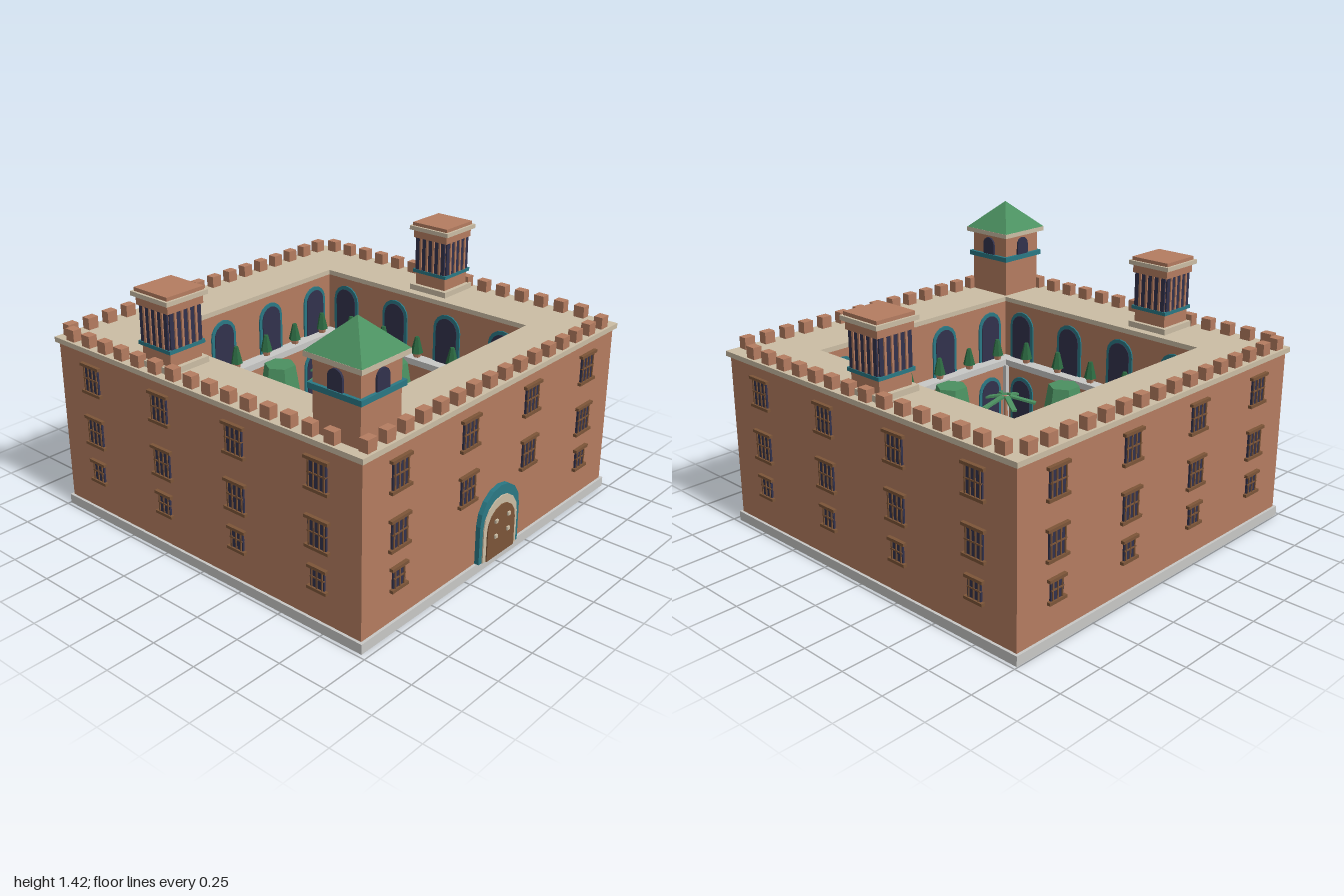
import * as THREE from 'three';

const mat = (name, color) => {
  const m = new THREE.MeshStandardMaterial({ color });
  m.name = name;
  return m;
};
const brick = mat('terracotta', 0xb47c60), sand = mat('sandstone', 0xcbbda4), stone = mat('pale stone', 0xc8c8c6);
const teal = mat('teal tile', 0x2a7884), glass = mat('dark glass', 0x32324c), wood = mat('brown wood', 0x7c5538);
const green = mat('green', 0x4b9060), leafDark = mat('dark foliage', 0x2c6a42);
[brick, green, leafDark, stone].forEach((m) => (m.flatShading = true));

const WALL = 0.968, COURT = 0.657, ROOF = 0.92;

function add(parent, name, geo, material, x = 0, y = 0, z = 0) {
  const m = new THREE.Mesh(geo, material);
  m.name = name;
  m.position.set(x, y, z);
  parent.add(m);
  return m;
}
// Box given by its bottom height
const box = (p, name, material, w, h, d, x, y, z) =>
  add(p, name, new THREE.BoxGeometry(w, h, d), material, x, y + h / 2, z);

function group(parent, name, x = 0, y = 0, z = 0, turn = 0) {
  const g = new THREE.Group();
  g.name = name;
  g.position.set(x, y, z);
  g.rotation.y = turn;
  parent.add(g);
  return g;
}

// Square ring with a square hole, lying flat
function ring(p, name, material, outer, inner, y, h) {
  const square = (s, T) => new T([[-s, -s], [s, -s], [s, s], [-s, s]].map(([a, b]) => new THREE.Vector2(a, b)));
  const shape = square(outer, THREE.Shape);
  shape.holes.push(square(inner, THREE.Path));
  const geo = new THREE.ExtrudeGeometry(shape, { depth: h, bevelEnabled: false }).rotateX(-Math.PI / 2);
  return add(p, name, geo, material, 0, y, 0);
}

// Round-headed plate facing +z
function arch(p, name, material, r, bottom, top, depth, x = 0, z = 0) {
  const s = new THREE.Shape();
  s.moveTo(-r, bottom);
  s.lineTo(r, bottom);
  for (let i = 0; i <= 8; i++) {
    const a = (i / 8) * Math.PI;
    s.lineTo(r * Math.cos(a), top - r + r * Math.sin(a));
  }
  return add(p, name, new THREE.ExtrudeGeometry(s, { depth, bevelEnabled: false }), material, x, 0, z);
}

// Barred window with lintel and sill, bottom at y
function barredWindow(p, x, y, w, h, bars) {
  const g = group(p, 'window', x, y, WALL);
  box(g, 'pane', glass, w, h, 0.02, 0, 0, 0);
  box(g, 'lintel', wood, w + 0.03, 0.015, 0.038, 0, h - 0.008, 0);
  box(g, 'sill', wood, w + 0.03, 0.015, 0.038, 0, -0.008, 0);
  for (let i = 0; i < bars; i++)
    box(g, 'bar', wood, 0.007, h, 0.03, w * ((i + 0.5) / bars - 0.5) * 1.12, 0, 0);
  box(g, 'crossBar', wood, w, 0.007, 0.028, 0, h / 2, 0);
}

// Lookout with slotted sides
function lookout(p, x, z) {
  const g = group(p, 'lookout', x, ROOF, z);
  box(g, 'plinth', sand, 0.235, 0.03, 0.235, 0, 0, 0);
  box(g, 'body', brick, 0.19, 0.33, 0.19, 0, 0, 0);
  box(g, 'band', teal, 0.215, 0.018, 0.215, 0, 0.097, 0);
  for (let k = 0; k < 4; k++) {
    const side = group(g, 'slottedSide', 0, 0, 0, (k * Math.PI) / 2);
    for (let i = -2; i <= 2; i++) box(side, 'slot', glass, 0.023, 0.175, 0.008, i * 0.041, 0.115, 0.099);
    for (let i = -2; i < 2; i++) box(side, 'column', brick, 0.012, 0.175, 0.014, (i + 0.5) * 0.041, 0.115, 0.1);
  }
  box(g, 'head', brick, 0.214, 0.045, 0.214, 0, 0.29, 0);
  box(g, 'cornice', sand, 0.247, 0.022, 0.247, 0, 0.333, 0);
  box(g, 'cap', brick, 0.222, 0.018, 0.222, 0, 0.355, 0);
}

// Corner tower with pyramid roof
function cornerTower(p, x, z) {
  const g = group(p, 'cornerTower', x, ROOF, z);
  box(g, 'body', brick, 0.255, 0.34, 0.255, 0, 0, 0);
  box(g, 'band', teal, 0.287, 0.026, 0.287, 0, 0.197, 0);
  for (let k = 0; k < 4; k++) {
    const side = group(g, 'towerSide', 0, 0, 0, (k * Math.PI) / 2);
    arch(side, 'towerWindow', glass, 0.04, 0.22, 0.318, 0.012, 0, 0.126);
  }
  box(g, 'cornice', sand, 0.308, 0.024, 0.308, 0, 0.335, 0);
  const roof = new THREE.ConeGeometry(0.153 * Math.SQRT2, 0.146, 4).rotateY(Math.PI / 4);
  add(g, 'pyramidRoof', roof, green, 0, 0.432, 0);
}

function bush(p, x, z) {
  const g = group(p, 'pottedBush', x, 0.58, z, Math.PI / 6);
  add(g, 'pot', new THREE.CylinderGeometry(0.024, 0.018, 0.025, 6), brick, 0, 0.012, 0);
  add(g, 'foliage', new THREE.CylinderGeometry(0.012, 0.034, 0.09, 6), leafDark, 0, 0.07, 0);
}

function tree(p, x, z) {
  const g = group(p, 'tree', x, 0.05, z, Math.PI / 6);
  add(g, 'trunk', new THREE.CylinderGeometry(0.03, 0.035, 0.14, 6), wood, 0, 0.07, 0);
  add(g, 'crown', new THREE.CylinderGeometry(0.083, 0.156, 0.44, 6), green, 0, 0.35, 0);
}

// Slim palm with six straight leaves
function palm(p, x, z) {
  const g = group(p, 'palm', x, 0.05, z);
  add(g, 'trunk', new THREE.CylinderGeometry(0.01, 0.016, 0.33, 6), brick, 0, 0.165, 0);
  for (let i = 0; i < 6; i++) {
    const arm = group(g, 'leafArm', 0, 0.31, 0, (i * Math.PI) / 3);
    box(arm, 'leaf', green, 0.15, 0.012, 0.03, 0.1, 0, 0).rotation.z = -0.2;
  }
}

function fountain(p) {
  const g = group(p, 'fountain', 0, 0.05, 0);
  const tier = (name, m, r, h, y) => add(g, name, new THREE.CylinderGeometry(r, r, h, 8), m, 0, y + h / 2, 0);
  tier('basin', stone, 0.097, 0.06, 0);
  tier('water', teal, 0.084, 0.006, 0.058);
  tier('stem', stone, 0.018, 0.13, 0.05);
  add(g, 'bowl', new THREE.CylinderGeometry(0.047, 0.025, 0.03, 8), stone, 0, 0.15, 0);
  tier('spout', stone, 0.012, 0.04, 0.16);
}

function gate(p) {
  const g = group(p, 'gate', 0, 0, WALL);
  arch(g, 'tileSurround', teal, 0.158, 0.05, 0.407, 0.024);
  arch(g, 'stoneSurround', sand, 0.134, 0.05, 0.355, 0.03);
  arch(g, 'door', wood, 0.11, 0.05, 0.312, 0.036);
  for (const x of [-0.05, 0.05]) for (const y of [0.155, 0.235])
    box(g, 'doorStud', sand, 0.02, 0.018, 0.015, x, y, 0.0375);
}

export function createModel() {
  const root = new THREE.Group();
  root.name = 'courtyardPalace';
  const p = group(root, 'palace', 0, 0, -0.013);

  // Shell
  box(p, 'base', stone, 1.964, 0.05, 1.964, 0, 0, 0);
  ring(p, 'walls', brick, WALL, COURT, 0.05, 0.845);
  ring(p, 'roofDeck', sand, 0.984, COURT, 0.894, 0.026);

  // Outer windows and courtyard arches on all four sides
  const columns = [-0.73, -0.243, 0.243, 0.73];
  for (let k = 0; k < 4; k++) {
    const side = group(p, 'facade', 0, 0, 0, (k * Math.PI) / 2);
    for (const x of columns) {
      barredWindow(side, x, 0.688, 0.105, 0.142, 4);
      barredWindow(side, x, 0.41, 0.105, 0.142, 4);
      if (k > 0 || Math.abs(x) > 0.5) barredWindow(side, x, 0.21, 0.08, 0.105, 3);
    }
    for (const x of [-0.525, -0.175, 0.175, 0.525]) {
      for (const [b, t] of [[0.58, 0.855], [0.06, 0.47]]) {
        arch(side, 'archSurround', teal, 0.085, b, t, 0.008, x, -COURT);
        arch(side, 'archGlass', glass, 0.066, b, t - 0.02, 0.012, x, -COURT);
      }
    }
  }
  gate(p);

  // Battlements
  for (let i = 0; i < 16; i++)
    for (const s of [-1, 1]) {
      box(p, 'merlon', brick, 0.058, 0.06, 0.047, -0.91 + i * 0.1193, ROOF, s * 0.947);
      if (i < 15) box(p, 'merlon', brick, 0.047, 0.06, 0.058, s * 0.948, ROOF, -0.876 + i * 0.1193);
    }

  cornerTower(p, -0.802, 0.798);
  lookout(p, 0.823, 0);
  lookout(p, -0.82, -0.305);

  // Courtyard
  box(p, 'lawn', green, 1.31, 0.008, 1.31, 0, 0.048, 0);
  ring(p, 'balcony', stone, COURT, 0.587, 0.545, 0.035);
  for (const x of [-1, 1]) for (const z of [-1, 1])
    box(p, 'balconyPost', stone, 0.025, 0.5, 0.025, x * 0.585, 0.05, z * 0.585);
  for (const s of [-1, 1]) {
    for (let i = 0; i < 6; i++) bush(p, -0.56 + i * 0.224, s * 0.628);
    for (let i = -2; i <= 2; i++) bush(p, s * 0.628, i * 0.234);
    tree(p, s * 0.415, 0);
    tree(p, 0, s * 0.418);
    palm(p, s * 0.55, s * -0.553);
  }
  fountain(p);
  return root;
}
